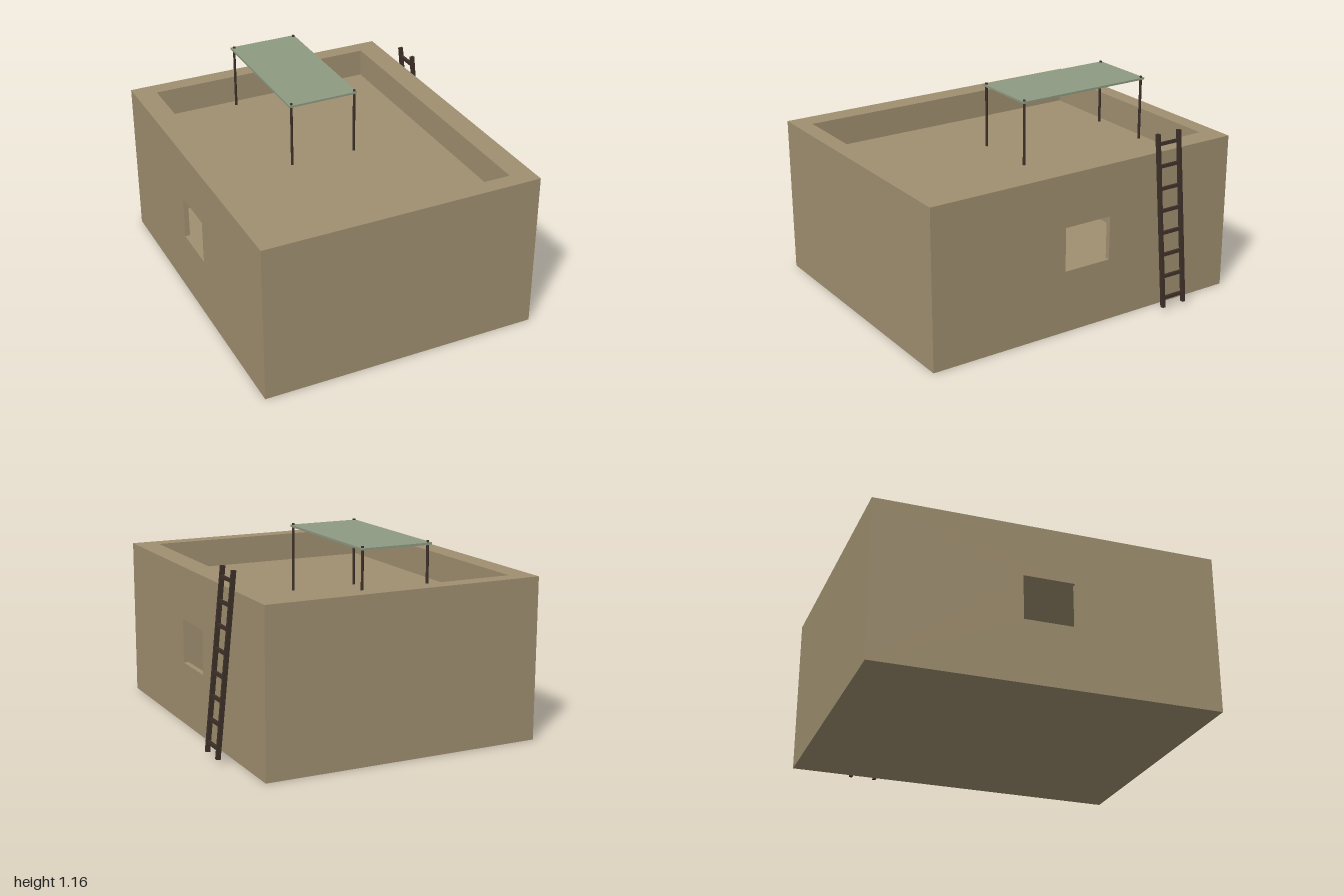
import * as THREE from 'three';

const mat = (name, color) => {
  const m = new THREE.MeshStandardMaterial({ color });
  m.name = name;
  return m;
};

export function createModel() {
  const group = new THREE.Group();
  const clay = mat('clay', 0xa09070);
  const wood = mat('darkWood', 0x3e3028);
  const cloth = mat('greenCloth', 0x8e9a82);

  const add = (name, geometry, material, x = 0, y = 0, z = 0, parent = group) => {
    const mesh = new THREE.Mesh(geometry, material);
    mesh.name = name;
    mesh.position.set(x, y, z);
    parent.add(mesh);
    return mesh;
  };
  // Box given by its limits on each axis
  const block = (name, material, [x0, x1], [y0, y1], [z0, z1]) =>
    add(name, new THREE.BoxGeometry(x1 - x0, y1 - y0, z1 - z0), material,
      (x0 + x1) / 2, (y0 + y1) / 2, (z0 + z1) / 2);
  // Rectangle outline, used for both shapes and holes
  const rect = (Type, x0, x1, y0, y1) => new Type([
    new THREE.Vector2(x0, y0), new THREE.Vector2(x1, y0),
    new THREE.Vector2(x1, y1), new THREE.Vector2(x0, y1),
  ]);

  const L = -0.89, R = 0.765, H = 0.94, T = 0.03, ROOF = 0.77;

  // Side walls with a square window each
  const side = rect(THREE.Shape, -1, 1, 0, H);
  side.holes.push(rect(THREE.Path, -0.15, 0.15, 0.37, 0.63));
  const sideGeo = new THREE.ExtrudeGeometry(side, { depth: T, bevelEnabled: false });
  sideGeo.rotateY(Math.PI / 2);
  add('leftWall', sideGeo, clay, R - T);
  add('rightWall', sideGeo, clay, L);

  // Front and back walls, floor and sunken roof
  const inX = [L + T, R - T], inZ = [-1 + T, 1 - T];
  block('frontWall', clay, inX, [0, H], [1 - T, 1]);
  block('backWall', clay, inX, [0, H], [-1, -1 + T]);
  block('floor', clay, inX, [0, T], inZ);
  block('roof', clay, inX, [ROOF - T, ROOF], inZ);

  // Thick parapet around the roof
  const parapet = rect(THREE.Shape, ...inX, ...inZ);
  parapet.holes.push(rect(THREE.Path, -0.76, 0.63, -0.9, 0.9));
  const parapetGeo = new THREE.ExtrudeGeometry(parapet, { depth: H - ROOF, bevelEnabled: false });
  parapetGeo.rotateX(-Math.PI / 2);
  add('parapet', parapetGeo, clay, 0, ROOF);

  // Canopy on four posts
  block('canopy', cloth, [-0.28, 0.145], [1.144, 1.156], [-0.87, 0.008]);
  const postGeo = new THREE.CylinderGeometry(0.008, 0.008, 1.165 - ROOF, 8);
  for (const x of [-0.264, 0.133])
    for (const z of [-0.852, -0.005])
      add('canopyPost', postGeo, wood, x, (1.165 + ROOF) / 2, z);

  // Ladder leaning against the left wall
  const ladder = new THREE.Group();
  ladder.name = 'ladder';
  ladder.position.set(0.82, 0.54, -0.543);
  ladder.rotation.z = Math.atan2(0.105, 1.02);
  group.add(ladder);
  const railGeo = new THREE.BoxGeometry(0.025, 1.025, 0.018);
  for (const s of [-1, 1]) add('ladderRail', railGeo, wood, 0, 0, s * 0.074, ladder);
  const rungGeo = new THREE.BoxGeometry(0.018, 0.018, 0.14);
  for (let i = 0; i < 8; i++) add('ladderRung', rungGeo, wood, 0, -0.457 + i * 0.13, 0, ladder);

  return group;
}
